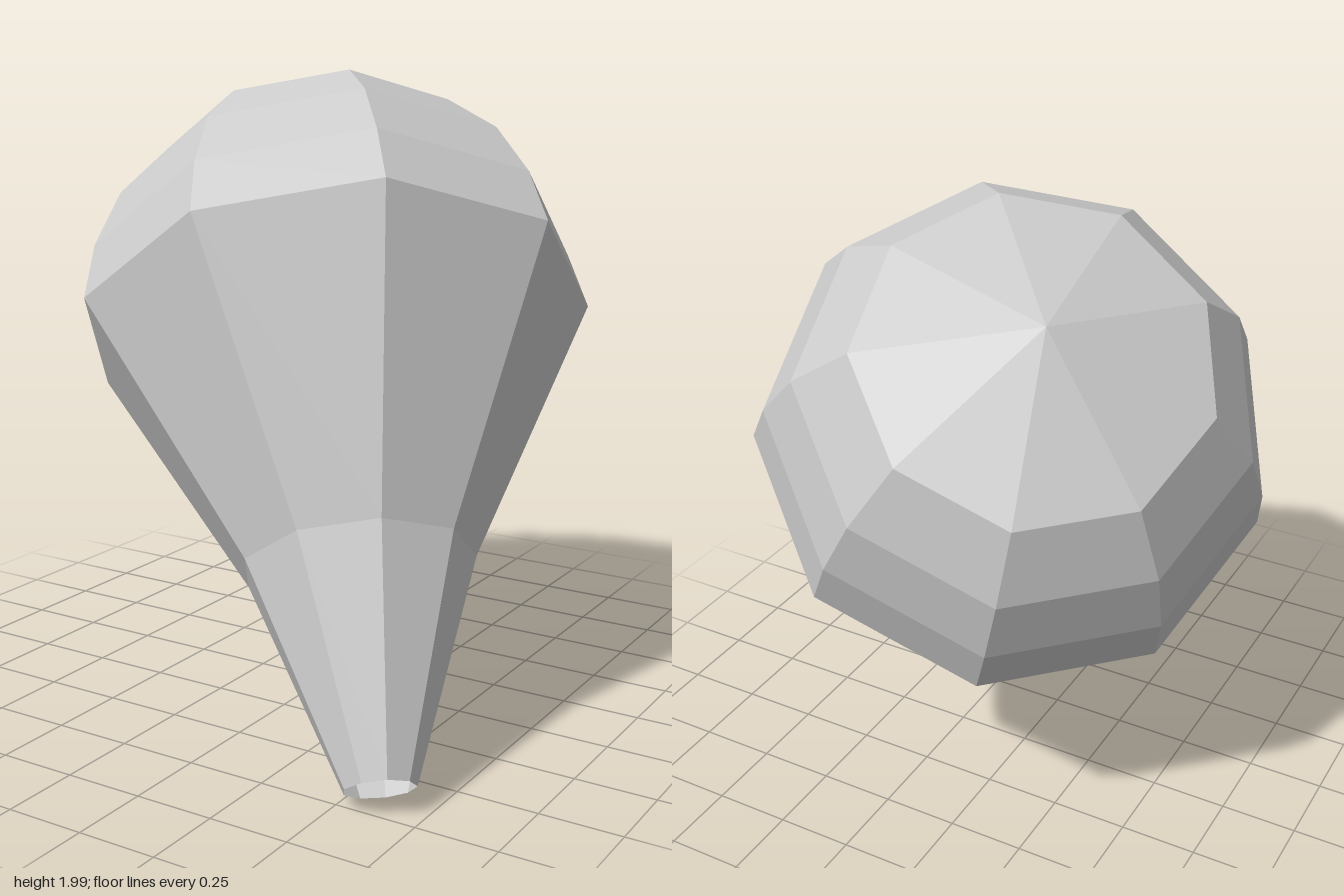
import * as THREE from 'three';

export function createModel() {
  const group = new THREE.Group();
  group.name = 'tiltedBulb';

  // Profile from the open narrow neck to the pointed crown: [radius, distance along axis]
  const profile = [
    [0.105, 0], [0.35, 0.66], [0.808, 1.474], [0.773, 1.668],
    [0.688, 1.875], [0.53, 2.07], [0, 2.255],
  ].map(([r, t]) => new THREE.Vector2(r, t));
  const geometry = new THREE.LatheGeometry(profile, 9);

  // Lean the axis back and to one side, with the neck mouth as the pivot
  const axis = new THREE.Vector3(-0.402, 0.769, -0.497).normalize();
  const side = new THREE.Vector3().crossVectors(axis, new THREE.Vector3(0.553, 0.605, 0.573)).normalize();
  const facing = new THREE.Vector3().crossVectors(side, axis);
  geometry.applyMatrix4(new THREE.Matrix4().makeBasis(side, axis, facing).setPosition(0.622, 0.066, 0.718));

  // Thin faceted shell, open at the neck
  const shell = new THREE.Mesh(geometry, new THREE.MeshStandardMaterial({
    color: 0xcccccc, flatShading: true, side: THREE.DoubleSide,
  }));
  shell.name = 'bulbShell';
  group.add(shell);
  return group;
}
